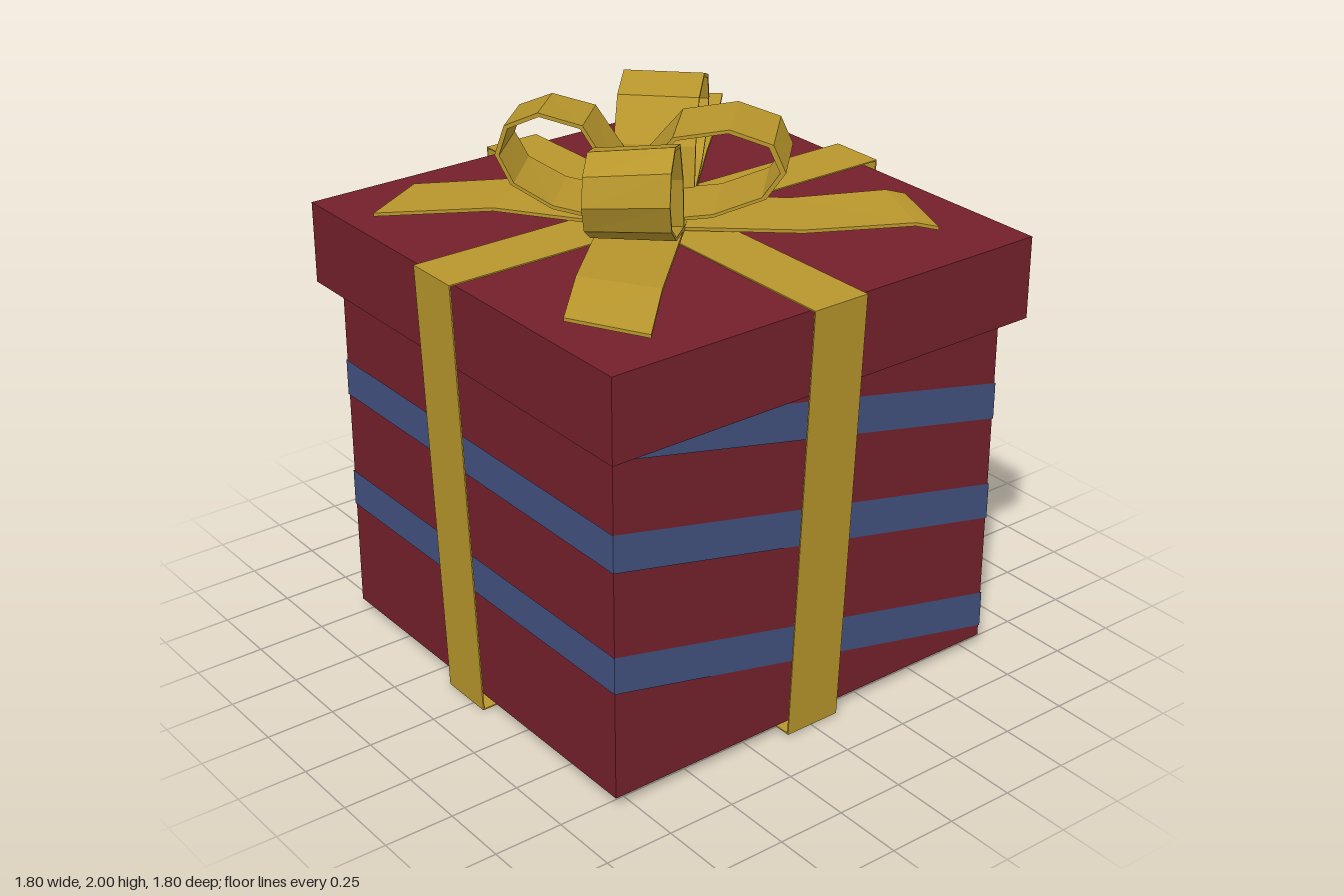
import * as THREE from 'three';

const red = new THREE.MeshStandardMaterial({ color: 0x74202a });
const blue = new THREE.MeshStandardMaterial({ color: 0x42507f, side: THREE.DoubleSide });
const gold = new THREE.MeshStandardMaterial({ color: 0xb8962c, side: THREE.DoubleSide });

function add(parent, name, geometry, material) {
  const mesh = new THREE.Mesh(geometry, material);
  mesh.name = name;
  parent.add(mesh);
  return mesh;
}

function boxBetween(x0, x1, y0, y1, z0, z1) {
  return new THREE.BoxGeometry(x1 - x0, y1 - y0, z1 - z0)
    .translate((x0 + x1) / 2, (y0 + y1) / 2, (z0 + z1) / 2);
}

// Extrudes a flat outline along z, centred on z = 0
function extrudeCentred(shape, width) {
  return new THREE.ExtrudeGeometry(shape, { depth: width, bevelEnabled: false })
    .translate(0, 0, -width / 2);
}

// Closed band: an outline with a slightly smaller copy cut out of it
function bandGeometry(points, thinness, width) {
  const outer = points.map(([x, y]) => new THREE.Vector2(x, y));
  const centre = new THREE.Vector2();
  outer.forEach((p) => centre.addScaledVector(p, 1 / outer.length));
  const shape = new THREE.Shape(outer);
  shape.holes.push(new THREE.Path(outer.map((p) => p.clone().lerp(centre, thinness))));
  return extrudeCentred(shape, width);
}

// Moves every vertex by a rule and renews the flat normals
function deform(geometry, rule) {
  const pos = geometry.attributes.position;
  const v = new THREE.Vector3();
  for (let i = 0; i < pos.count; i++) {
    v.fromBufferAttribute(pos, i);
    rule(v);
    pos.setXYZ(i, v.x, v.y, v.z);
  }
  geometry.computeVertexNormals();
  return geometry;
}

// Stripe around the four walls, level at front and back, sloping on the sides
function stripeGeometry(frontY, height, drop) {
  const corners = [
    [-0.773, frontY, 0.813], [0.793, frontY, 0.813],
    [0.793, frontY - drop, -0.808], [-0.773, frontY - drop, -0.808],
  ];
  const vertices = [];
  for (let i = 0; i < 4; i++) {
    const [ax, ay, az] = corners[i];
    const [bx, by, bz] = corners[(i + 1) % 4];
    vertices.push(ax, ay, az, bx, by, bz, bx, by + height, bz);
    vertices.push(ax, ay, az, bx, by + height, bz, ax, ay + height, az);
  }
  const geometry = new THREE.BufferGeometry();
  geometry.setAttribute('position', new THREE.Float32BufferAttribute(vertices, 3));
  geometry.computeVertexNormals();
  return geometry;
}

// Bow loop from u = start to u = end; roll lifts one edge
function loopGeometry(start, end, top, roll) {
  const outline = [[0, 0], [0.55, 0.12], [0.88, 0.33], [1, 0.6],
    [0.92, 0.87], [0.65, 1], [0.3, 0.9], [0.08, 0.5]];
  const points = outline.map(([t, h]) => [start + t * (end - start), 1.62 + h * (top - 1.62)]);
  return deform(bandGeometry(points, 0.08, 0.28), (v) => {
    v.y -= roll * v.z * (v.y - 1.62) / 0.35;
  });
}

// Folded tail with a slanted tip
function tailGeometry(path, slant) {
  const upper = path.map(([x, y]) => new THREE.Vector2(x, y));
  const lower = path.map(([x, y]) => new THREE.Vector2(x, y - 0.012)).reverse();
  const length = path[path.length - 1][0];
  return deform(extrudeCentred(new THREE.Shape([...upper, ...lower]), 0.28), (v) => {
    v.x += slant * v.z * (v.x / length);
  });
}

export function createModel() {
  const model = new THREE.Group();
  model.name = 'giftBox';

  // Box and lid
  add(model, 'box', boxBetween(-0.77, 0.79, 0.04, 1.32, -0.805, 0.81), red);
  add(model, 'lid', boxBetween(-0.85, 0.865, 1.3, 1.595, -0.86, 0.865), red);

  // Stripes; the upper part of the last one is hidden in the lid
  for (const y of [0.44, 0.88, 1.27]) add(model, 'stripe', stripeGeometry(y, 0.135, 0.36), blue);

  // Two ribbons wrapped around the box, wider at the lid
  const sideRibbon = add(model, 'sideRibbon',
    bandGeometry([[-0.9, 1.608], [-0.805, 0.012], [0.825, 0.012], [0.9, 1.608]], 0.006, 0.215), gold);
  sideRibbon.position.z = 0.006;
  const frontRibbon = add(model, 'frontRibbon',
    bandGeometry([[-0.9, 1.612], [-0.835, 0], [0.835, 0], [0.9, 1.612]], 0.006, 0.207), gold);
  frontRibbon.rotation.y = Math.PI / 2;
  frontRibbon.position.x = -0.044;

  // Bow: one loop and one tail along each diagonal
  const bow = new THREE.Group();
  bow.name = 'bow';
  bow.position.set(-0.04, 0, 0.04);
  model.add(bow);
  const arms = [
    { name: 'backLeft', loop: [-0.06, 0.47, 1.97, 0], slant: 0.43,
      tail: [[0, 1.62], [0.5, 1.635], [0.84, 1.68], [0.91, 1.67]] },
    { name: 'backRight', loop: [0.12, 0.57, 1.97, 0], slant: 0.16,
      tail: [[0, 1.62], [0.5, 1.65], [0.78, 1.64], [1, 1.685]] },
    { name: 'frontRight', loop: [0.07, 0.49, 1.985, 0.1], slant: -0.27,
      tail: [[0, 1.62], [0.48, 1.66], [0.87, 1.62]] },
    { name: 'frontLeft', loop: [0.15, 0.53, 1.985, 0.1], slant: -0.31,
      tail: [[0, 1.62], [0.4, 1.64], [0.68, 1.655], [0.93, 1.62]] },
  ];
  arms.forEach(({ name, loop, tail, slant }, i) => {
    const arm = new THREE.Group();
    arm.name = name + 'BowArm';
    arm.rotation.y = Math.PI / 4 + i * Math.PI / 2;
    add(arm, 'loop', loopGeometry(...loop), gold);
    add(arm, 'tail', tailGeometry(tail, slant), gold);
    bow.add(arm);
  });

  return model;
}
